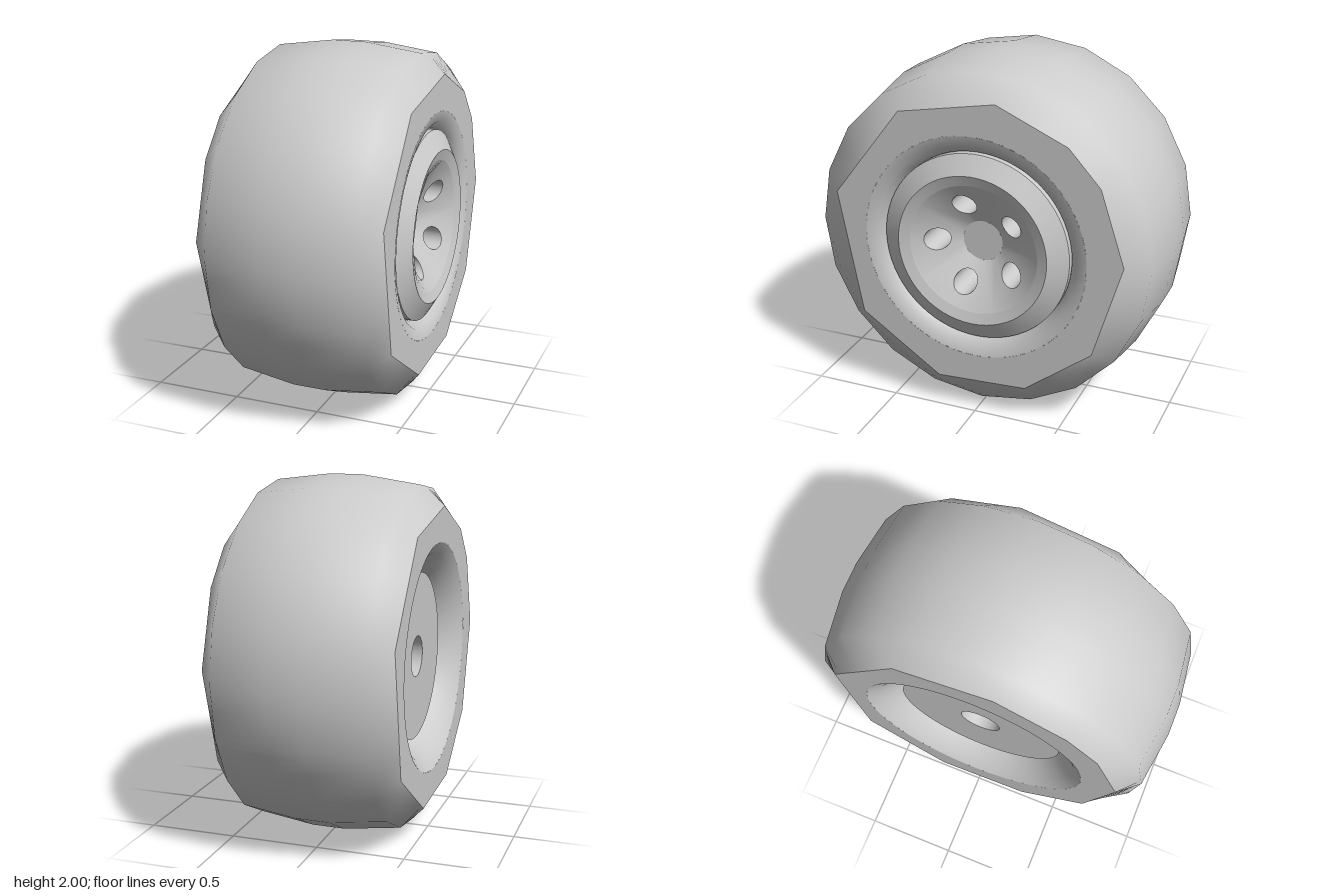
import * as THREE from 'three';
import { toCreasedNormals } from 'three/addons/utils/BufferGeometryUtils.js';

const grey = new THREE.MeshStandardMaterial({ color: 0xcccccc });
const greyDouble = new THREE.MeshStandardMaterial({ color: 0xcccccc, side: THREE.DoubleSide });
const SHOULDER = 0.84;
const DEG = Math.PI / 180;

// Corners of the sidewall outline and of the tread rings, in degrees
const wallCorners = [-195, -144, -105, -69, -36, 3, 33, 51, 81, 120, 165];
const treadCorners = Array.from({ length: 21 }, (_, i) => -180 + i * 18);

// Straight edges between corners: radius factor at an angle
function polygonFactor(corners, angle) {
  if (angle > corners[corners.length - 1]) angle -= 360;
  for (let i = 0; i < corners.length - 1; i++) {
    const a = corners[i], b = corners[i + 1];
    if (angle >= a - 0.01 && angle <= b + 0.01) {
      return Math.cos((b - a) / 2 * DEG) / Math.cos((angle - (a + b) / 2) * DEG);
    }
  }
  return 1;
}

// Profile points are [x along the axle, radius]
function latheX(profile, segments) {
  const points = profile.map(([x, r]) => new THREE.Vector2(r, x));
  return new THREE.LatheGeometry(points, segments).rotateZ(-Math.PI / 2);
}

// Turns the round tyre rings into coarse polygons, keeping the round normals
function facetTyre(geometry) {
  const p = geometry.attributes.position;
  for (let i = 0; i < p.count; i++) {
    const x = p.getX(i), y = p.getY(i), z = p.getZ(i);
    const r = Math.hypot(y, z);
    if (r < SHOULDER - 0.01) continue;
    const angle = Math.atan2(y, x > 0 ? -z : z) / DEG;
    const f = polygonFactor(r < SHOULDER + 0.01 ? wallCorners : treadCorners, angle);
    p.setXYZ(i, x, y * f, z * f);
  }
  return geometry;
}

function add(parent, name, geometry, material = grey) {
  const mesh = new THREE.Mesh(geometry, material);
  mesh.name = name;
  parent.add(mesh);
  return mesh;
}

// Depth of the conical dish at a radius
const dishDepth = (r) => 0.36 + (r - 0.115) * 0.57;

// One fifth of the dish, with a round hole in it
function dishSector() {
  const half = Math.PI / 5;
  const shape = new THREE.Shape();
  shape.absarc(0, 0, 0.37, -half, half, false);
  shape.absarc(0, 0, 0.115, half, -half, true);
  shape.closePath();
  shape.holes.push(new THREE.Path().absarc(0.24, 0, 0.065, 0, Math.PI * 2, true));
  const g = new THREE.ShapeGeometry(shape, 16);
  const p = g.attributes.position, n = g.attributes.normal;
  const normal = new THREE.Vector3();
  for (let i = 0; i < p.count; i++) {
    const x = p.getX(i), y = p.getY(i), r = Math.hypot(x, y);
    p.setZ(i, dishDepth(r));
    normal.set(-0.57 * x / r, -0.57 * y / r, 1).normalize();
    n.setXYZ(i, normal.x, normal.y, normal.z);
  }
  return g;
}

// Wall of a hole, cut off along the dish
function holeWall() {
  const g = new THREE.CylinderGeometry(0.065, 0.065, 1, 32, 1, true);
  g.rotateX(Math.PI / 2).translate(0.24, 0, 0);
  const p = g.attributes.position;
  for (let i = 0; i < p.count; i++) {
    p.setZ(i, p.getZ(i) > 0 ? dishDepth(Math.hypot(p.getX(i), p.getY(i))) : 0.2);
  }
  return g;
}

export function createModel() {
  const model = new THREE.Group();
  model.name = 'wheel';
  const wheel = new THREE.Group();
  wheel.name = 'wheelAssembly';
  wheel.position.y = 1;
  model.add(wheel);

  // Tyre: tread, two flat sidewalls and their inner lips
  const tyre = new THREE.Group();
  tyre.name = 'tyre';
  wheel.add(tyre);
  add(tyre, 'tread', facetTyre(latheX([
    [-0.53, SHOULDER], [-0.42, 0.955], [-0.1, 1], [0.09, 1], [0.4, 0.96], [0.5, SHOULDER],
  ], 120)));
  add(tyre, 'outerSidewall', facetTyre(latheX([[0.5, SHOULDER], [0.5, 0.64]], 120)));
  add(tyre, 'innerSidewall', facetTyre(latheX([[-0.53, 0.64], [-0.53, SHOULDER]], 120)));
  add(tyre, 'outerLip', latheX([[0.5, 0.64], [0.485, 0.58], [0.44, 0.54], [0.38, 0.52]], 60));
  add(tyre, 'innerLip', latheX([[-0.33, 0.46], [-0.42, 0.52], [-0.49, 0.58], [-0.53, 0.64]], 60));

  // Rim: axle bore, back plate, barrel and front flange
  add(wheel, 'rim', toCreasedNormals(latheX([
    [0.3, 0], [0.3, 0.115], [-0.42, 0.115], [-0.42, 0.47], [0.4, 0.47],
    [0.4, 0.535], [0.465, 0.535], [0.525, 0.43], [dishDepth(0.37), 0.37],
  ], 64), 0.15));

  // Dish with five holes and a flat centre
  const dish = new THREE.Group();
  dish.name = 'dish';
  dish.rotation.y = Math.PI / 2;
  wheel.add(dish);
  const sector = dishSector(), wall = holeWall();
  const floor = new THREE.CircleGeometry(0.065, 32).translate(0.24, 0, 0.2);
  for (let i = 0; i < 5; i++) {
    const spoke = new THREE.Group();
    spoke.name = 'dishSection';
    spoke.rotation.z = Math.PI + i * Math.PI * 2 / 5;
    dish.add(spoke);
    add(spoke, 'dishFace', sector);
    add(spoke, 'holeWall', wall, greyDouble);
    add(spoke, 'holeFloor', floor);
  }
  add(dish, 'centreCap', new THREE.CircleGeometry(0.115, 40).translate(0, 0, dishDepth(0.115)));
  return model;
}
